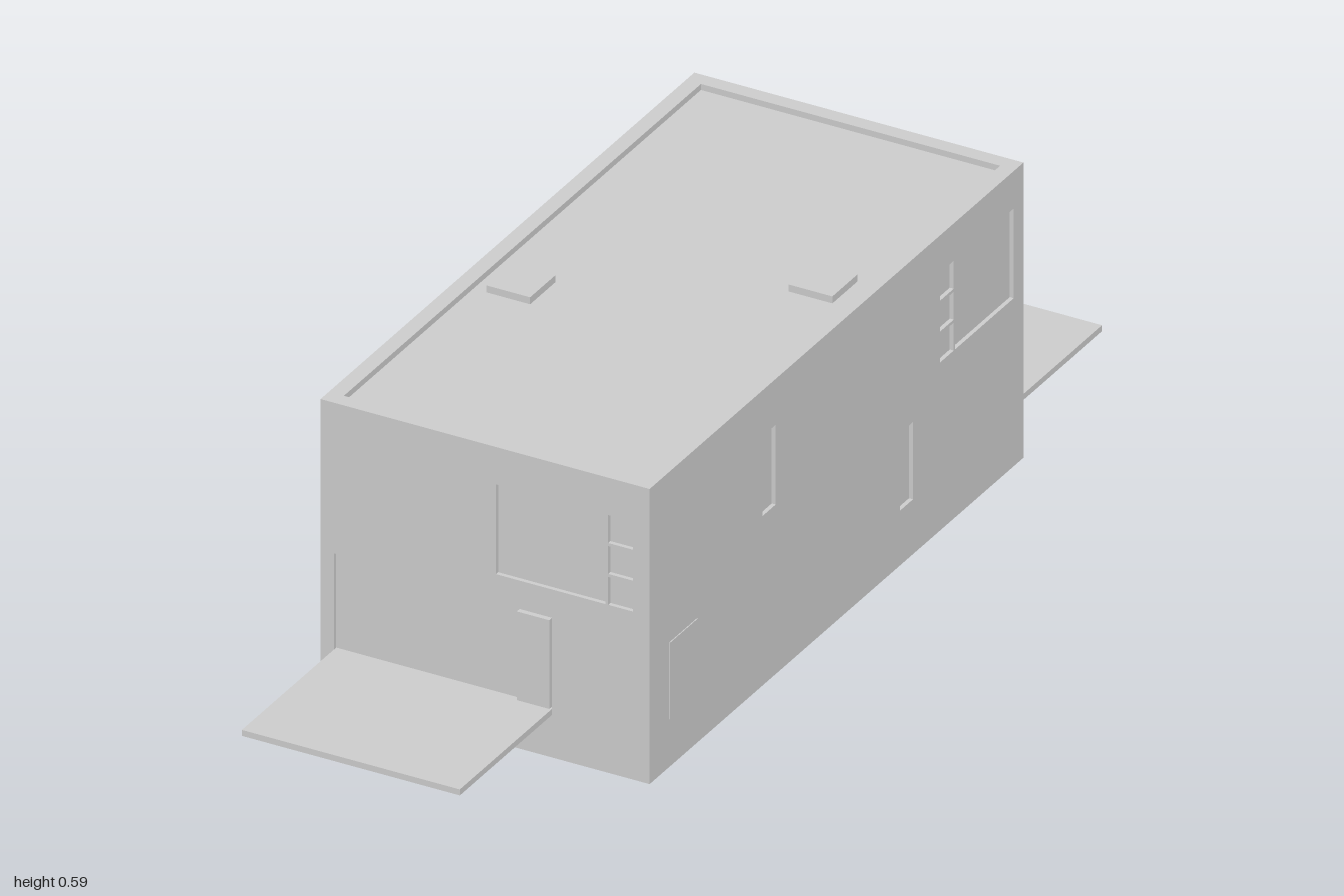
import * as THREE from 'three';

const W = 0.33, L = 0.67, H = 0.592, T = 0.03; // half width, half length, height, wall thickness
const FLOOR = 0.085, ROOF = 0.58, RECESS = 0.008;

const material = new THREE.MeshStandardMaterial({ color: 0xcccccc, flatShading: true });

// Box given by its min and max on each axis
function box(name, [x0, x1], [y0, y1], [z0, z1]) {
  const mesh = new THREE.Mesh(new THREE.BoxGeometry(x1 - x0, y1 - y0, z1 - z0), material);
  mesh.position.set((x0 + x1) / 2, (y0 + y1) / 2, (z0 + z1) / 2);
  mesh.name = name;
  return mesh;
}

// Wall facing +z with its inner face on z = 0; every recess is a hole closed by a set-back panel
function wall(name, half, recesses) {
  const group = new THREE.Group();
  group.name = name;
  const shape = new THREE.Shape();
  shape.moveTo(-half, 0).lineTo(half, 0).lineTo(half, H).lineTo(-half, H).closePath();
  for (const [part, x0, x1, y0, y1] of recesses) {
    const hole = new THREE.Path();
    hole.moveTo(x0, y0).lineTo(x0, y1).lineTo(x1, y1).lineTo(x1, y0).closePath();
    shape.holes.push(hole);
    group.add(box(part, [x0, x1], [y0, y1], [0, T - RECESS]));
  }
  const shell = new THREE.Mesh(new THREE.ExtrudeGeometry(shape, { depth: T, bevelEnabled: false }), material);
  shell.name = name + 'Shell';
  group.add(shell);
  return group;
}

// Column of three small panes
function paneColumn(x0, x1) {
  return [0, 1, 2].map((i) => ['smallPane', x0, x1, 0.337 + i * 0.062, 0.393 + i * 0.062]);
}

// One end wall, one long wall and their fittings
function createHalf() {
  const half = new THREE.Group();

  // End wall with window, pane column and wide ramp bay
  const end = wall('endWall', W, [
    ['largeWindow', 0.022, 0.242, 0.337, 0.517],
    ...paneColumn(0.247, 0.297),
    ['rampBay', -0.303, 0.134, 0.097, 0.29],
  ]);
  end.add(box('endDoor', [0.065, 0.13], [0.097, 0.275], [0.005, T + 0.002]));
  end.position.z = L - T;
  half.add(end);

  // Ramp lying flat at floor level
  half.add(box('ramp', [-0.303, 0.134], [FLOOR, 0.097], [L - 0.001, 1]));

  // Long wall with windows and a raised door
  const side = wall('sideWall', L - T, [
    ['largeWindow', 0.425, 0.635, 0.337, 0.517],
    ...paneColumn(0.37, 0.42),
    ['upperWindow', -0.265, -0.218, 0.34, 0.5],
    ['lowerWindow', 0.227, 0.274, 0.11, 0.265],
  ]);
  side.add(box('sideDoor', [-0.6, -0.5], [0.096, 0.25], [T - 0.01, T + 0.002]));
  side.rotation.y = Math.PI / 2;
  side.position.x = W - T;
  half.add(side);

  // Roof hatch
  half.add(box('roofHatch', [-0.274, -0.186], [ROOF - 0.005, 0.594], [0.085, 0.176]));
  return half;
}

export function createModel() {
  const model = new THREE.Group();
  model.name = 'building';

  // The second half is the first turned half way round
  const front = createHalf();
  front.name = 'frontHalf';
  const back = front.clone();
  back.name = 'backHalf';
  back.rotation.y = Math.PI;
  model.add(front, back);

  // Floor and sunken roof between the walls
  const innerX = [T - W, W - T], innerZ = [T - L, L - T];
  model.add(box('floor', innerX, [FLOOR, 0.097], innerZ));
  model.add(box('roof', innerX, [0.565, ROOF], innerZ));

  // Stepped partition dividing the inside and the underside
  const points = [
    [0.30, -0.11], [0.30, -0.08], [0.015, -0.08], [0.015, 0.11],
    [-0.30, 0.11], [-0.30, 0.08], [-0.015, 0.08], [-0.015, -0.11],
  ];
  const outline = new THREE.Shape(points.map(([x, z]) => new THREE.Vector2(x, -z)));
  const partition = new THREE.Mesh(new THREE.ExtrudeGeometry(outline, { depth: 0.565, bevelEnabled: false }), material);
  partition.rotation.x = -Math.PI / 2;
  partition.name = 'partition';
  model.add(partition);

  return model;
}
